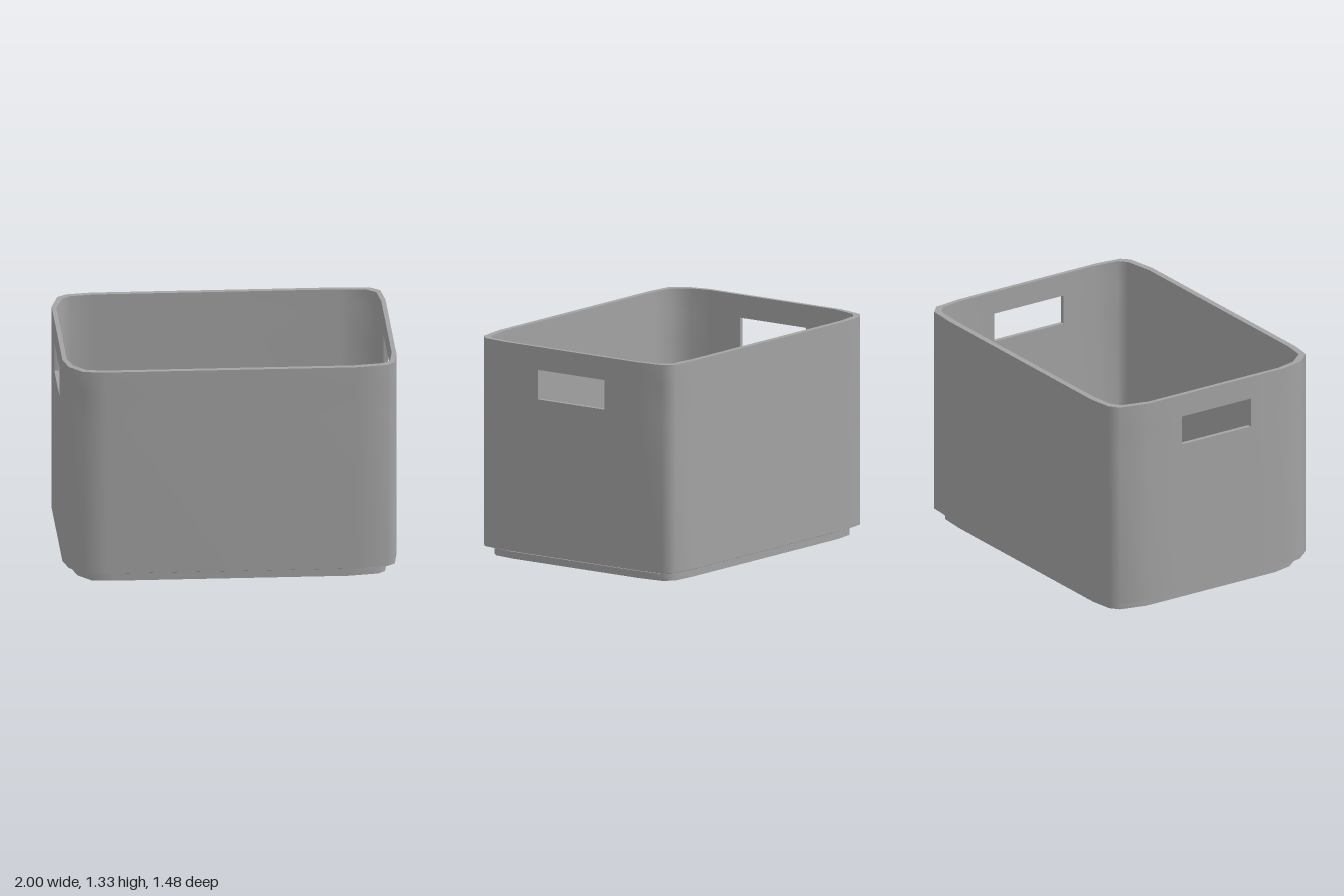
import * as THREE from 'three';

const grey = new THREE.MeshStandardMaterial({ color: 0xa3a3a3 });
grey.name = 'grey plastic';

// Corner points of the outline, walked from +x towards +z
const RIGHT_FRONT = [[1, 0.5], [0.98, 0.66], [0.935, 0.705], [0.75, 0.738]];
const LEFT_FRONT = [[-0.75, 0.738], [-0.89, 0.72], [-0.97, 0.62], [-1, 0.49]];
const LEFT_BACK = [[-1, -0.5], [-0.955, -0.675], [-0.9, -0.72], [-0.75, -0.743]];
const RIGHT_BACK = [[0.75, -0.743], [0.92, -0.73], [0.98, -0.675], [1, -0.5]];
const HOLE = { z0: -0.255, z1: 0.245, y0: 1.01, y1: 1.19 };
const HOLE_SEGMENTS = [8, 17]; // outline segments that hold the handle openings
const TOP = 1.33, LEDGE = 0.06, FLOOR = 0.05;
const INNER = [0.973, 0.95], FOOT = [0.943, 0.943];

// Closed outline at height y; the hole columns keep their z at every scale
function ring(y, [sx, sz]) {
  const scaled = (list) => list.map(([x, z]) => new THREE.Vector3(x * sx, y, z * sz));
  const column = (x, z) => new THREE.Vector3(x * sx, y, z * Math.min(1, sz * 10));
  return [
    ...scaled(RIGHT_FRONT), ...scaled(LEFT_FRONT),
    column(-1, HOLE.z1), column(-1, HOLE.z0),
    ...scaled(LEFT_BACK), ...scaled(RIGHT_BACK),
    column(1, HOLE.z0), column(1, HOLE.z1),
  ];
}

// Skin closed loops in order, leaving out the cells named by skip(row, segment)
function loft(name, rings, skip = () => false, flat = false) {
  const n = rings[0].length, index = [];
  for (let r = 0; r < rings.length - 1; r++) {
    for (let i = 0; i < n; i++) {
      if (skip(r, i)) continue;
      const a = r * n + i, b = r * n + (i + 1) % n;
      index.push(a, a + n, b + n, a, b + n, b);
    }
  }
  let geometry = new THREE.BufferGeometry().setFromPoints(rings.flat());
  geometry.setIndex(index);
  if (flat) geometry = geometry.toNonIndexed();
  geometry.computeVertexNormals();
  const mesh = new THREE.Mesh(geometry, grey);
  mesh.name = name;
  return mesh;
}

export function createModel() {
  const group = new THREE.Group();
  group.name = 'storageBin';
  const full = [1, 1], centre = [0, 0];
  const isHole = (row, i) => row === 1 && (i === HOLE_SEGMENTS[0] || i === 17 + 1);

  // Foot, underside and the ledge above it
  group.add(
    loft('underside', [ring(0, centre), ring(0, FOOT)]),
    loft('foot', [ring(0, FOOT), ring(0.045, FOOT)]),
    loft('ledge', [ring(0.045, FOOT), ring(LEDGE, full)]),
  );

  // Walls with handle openings, rim and floor
  group.add(
    loft('outerWall', [LEDGE, HOLE.y0, HOLE.y1, TOP].map((y) => ring(y, full)), isHole),
    loft('rim', [ring(TOP, full), ring(TOP, INNER)]),
    loft('innerWall', [TOP, HOLE.y1, HOLE.y0, FLOOR].map((y) => ring(y, INNER)), isHole),
    loft('floor', [ring(FLOOR, INNER), ring(FLOOR, centre)]),
  );

  // Edges of the handle openings
  for (const side of [1, -1]) {
    const [za, zb] = side > 0 ? [HOLE.z0, HOLE.z1] : [HOLE.z1, HOLE.z0];
    const frame = (x) => [[za, HOLE.y0], [zb, HOLE.y0], [zb, HOLE.y1], [za, HOLE.y1]]
      .map(([z, y]) => new THREE.Vector3(side * x, y, z));
    group.add(loft(side > 0 ? 'leftHandleEdge' : 'rightHandleEdge',
      [frame(1), frame(INNER[0])], undefined, true));
  }
  return group;
}
